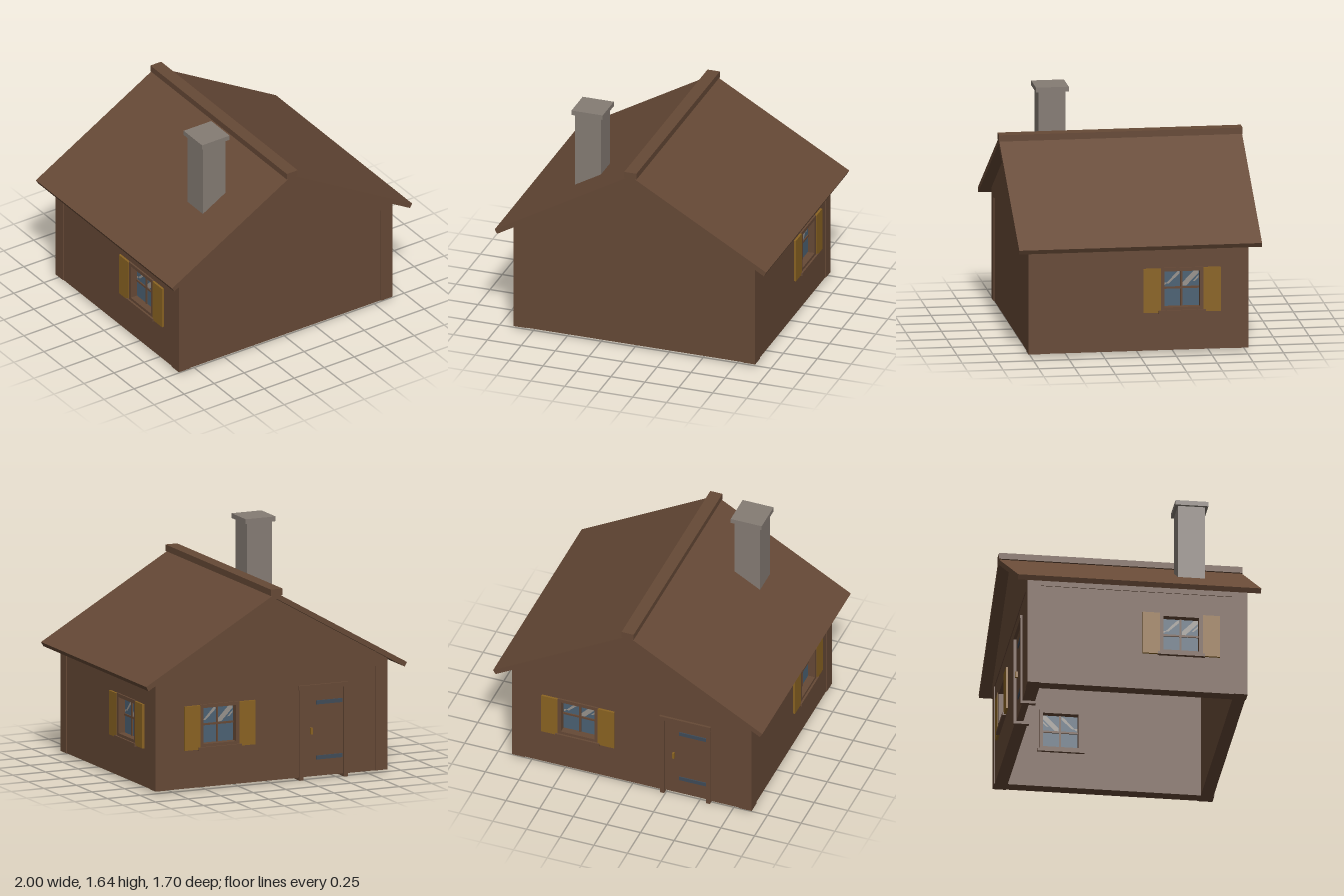
import * as THREE from 'three';

const mat = (name, color, extra = {}) => {
  const m = new THREE.MeshStandardMaterial({ color, ...extra });
  m.name = name;
  return m;
};

export function createModel() {
  const wood = mat('brown wood', 0x664936);
  const stone = mat('grey stone', 0x857c74);
  const paint = mat('ochre paint', 0x8a6322);
  const glass = mat('blue glass', 0x4b6173);
  const shine = mat('pale reflection', 0x98938d, { side: THREE.DoubleSide });
  const iron = mat('dark iron', 0x3f4b58);

  const house = new THREE.Group();
  house.name = 'house';

  const add = (parent, name, geometry, material) => {
    const mesh = new THREE.Mesh(geometry, material);
    mesh.name = name;
    parent.add(mesh);
    return mesh;
  };
  // Box given by its limits on each axis
  const box = (parent, name, [x0, x1], [y0, y1], [z0, z1], material = wood) => {
    const g = new THREE.BoxGeometry(x1 - x0, y1 - y0, z1 - z0);
    g.translate((x0 + x1) / 2, (y0 + y1) / 2, (z0 + z1) / 2);
    return add(parent, name, g, material);
  };
  const poly = (pts) => new THREE.Shape(pts.map(([x, y]) => new THREE.Vector2(x, y)));
  const rect = (x0, x1, y0, y1) => poly([[x0, y0], [x1, y0], [x1, y1], [x0, y1]]);
  const extrude = (shape, z0, z1) =>
    new THREE.ExtrudeGeometry(shape, { depth: z1 - z0, bevelEnabled: false }).translate(0, 0, z0);

  const T = 0.095; // wall thickness
  const INSET = 0.006; // panels sit slightly behind the posts

  // Window in wall space: x right, y up, z outward from the post plane
  const addWindow = (wall, x) => {
    const w = new THREE.Group();
    w.name = 'window';
    w.position.set(x, 0.455, 0);
    wall.add(w);
    const frame = rect(-0.15, 0.15, -0.15, 0.15);
    frame.holes.push(rect(-0.125, 0.125, -0.15 + 0.02, 0.125));
    add(w, 'windowFrame', extrude(frame, -T - 0.006, 0.006), wood);
    box(w, 'windowSill', [-0.165, 0.165], [-0.172, -0.15], [-T - 0.02, 0.02]);
    box(w, 'glassPane', [-0.125, 0.125], [-0.13, 0.125], [-0.055, -0.045], glass);
    box(w, 'uprightBar', [-0.007, 0.007], [-0.13, 0.125], [-0.063, -0.037]);
    box(w, 'crossBar', [-0.125, 0.125], [-0.007, 0.007], [-0.063, -0.037]);
    // Slanting reflections on both sides of the glass
    const streaks = [
      [[-0.123, 0.01], [-0.098, 0.035], [-0.123, 0.035]],
      [[-0.105, 0.03], [-0.085, 0.03], [-0.01, 0.1], [-0.01, 0.122], [-0.03, 0.11]],
      [[0.01, 0.01], [0.035, 0.01], [0.122, 0.1], [0.122, 0.123], [0.095, 0.123], [0.01, 0.035]],
      [[0.08, 0.04], [0.095, 0.04], [0.122, 0.068], [0.122, 0.083]],
    ];
    for (const z of [-0.0435, -0.0565])
      for (const s of streaks)
        add(w, 'reflection', new THREE.ShapeGeometry(poly(s)).translate(0, 0, z), shine);
    for (const s of [-1, 1])
      box(w, 'shutter', [s * 0.21 - 0.06, s * 0.21 + 0.06], [-0.165, 0.147], [-0.006, 0.01], paint);
  };

  // Plank door with frame, strap hinges and handle
  const addDoor = (wall, x) => {
    const d = new THREE.Group();
    d.name = 'door';
    d.position.x = x;
    wall.add(d);
    for (const s of [-1, 1])
      box(d, 'doorJamb', [s * 0.17 - 0.015, s * 0.17 + 0.015], [0, 0.645], [-T - 0.006, 0.007]);
    box(d, 'doorLintel', [-0.19, 0.19], [0.64, 0.67], [-T - 0.006, 0.01]);
    box(d, 'doorLeaf', [-0.157, 0.157], [0.02, 0.642], [-0.06, -0.012]);
    for (const y of [0.15, 0.54])
      box(d, 'strapHinge', [-0.05, 0.15], [y - 0.014, y + 0.014], [-0.014, -0.005], iron);
    box(d, 'doorHandle', [-0.097, -0.083], [0.32, 0.365], [-0.014, 0.006], paint);
  };

  // Four walls: half length, distance from centre, turn, openings
  const walls = [
    { name: 'frontWall', half: 0.8, dist: 0.77, turn: 0 },
    { name: 'backWall', half: 0.8, dist: 0.77, turn: Math.PI, win: -0.4, door: 0.397 },
    { name: 'leftWall', half: 0.68, dist: 0.89, turn: Math.PI / 2, win: 0.305 },
    { name: 'rightWall', half: 0.68, dist: 0.89, turn: -Math.PI / 2, win: 0.305 },
  ];
  for (const { name, half, dist, turn, win, door } of walls) {
    const wall = new THREE.Group();
    wall.name = name;
    wall.rotation.y = turn;
    wall.position.set(Math.sin(turn) * dist, 0, Math.cos(turn) * dist);
    house.add(wall);
    const notch = door === undefined ? [] : [
      [door - 0.18, 0.02], [door - 0.18, 0.66], [door + 0.18, 0.66], [door + 0.18, 0.02]];
    const panel = poly([[-half, 0.02], ...notch, [half, 0.02], [half, 0.76], [-half, 0.76]]);
    if (win !== undefined) {
      panel.holes.push(rect(win - 0.145, win + 0.145, 0.295, 0.6));
      addWindow(wall, win);
    }
    if (door !== undefined) addDoor(wall, door);
    add(wall, 'wallPanel', extrude(panel, -T, -INSET), wood);
    // Gable above the end walls, plain beam above the side walls
    if (half === 0.8) {
      const gable = poly([[-0.89, 0.76], [0.89, 0.76], [0.89, 0.807], [0, 1.323], [-0.89, 0.807]]);
      add(wall, 'gable', extrude(gable, -T, 0), wood);
    } else {
      box(wall, 'topBeam', [-half, half], [0.76, 0.807], [-T, 0]);
    }
  }

  // Corner posts
  for (const sx of [-1, 1])
    for (const sz of [-1, 1])
      box(house, 'cornerPost', [sx * 0.8425 - T / 2, sx * 0.8425 + T / 2], [0.02, 0.76],
        [sz * 0.7225 - T / 2, sz * 0.7225 + T / 2]);

  // Roof slopes and ridge cap
  for (const s of [-1, 1]) {
    const slope = poly([[0, 1.321], [s * 0.982, 0.754], [s, 0.785], [0, 1.362]]);
    add(house, 'roofSlope', extrude(slope, -0.85, 0.85), wood);
  }
  box(house, 'ridgeCap', [-0.045, 0.045], [1.345, 1.39], [-0.852, 0.852]);

  // Chimney with its foot cut to the roof slope
  const stack = poly([[-0.525, 1.04], [-0.335, 1.15], [-0.335, 1.605], [-0.525, 1.605]]);
  add(house, 'chimneyStack', extrude(stack, 0.333, 0.523), stone);
  box(house, 'chimneyCap', [-0.545, -0.315], [1.603, 1.637], [0.313, 0.543], stone);

  return house;
}
